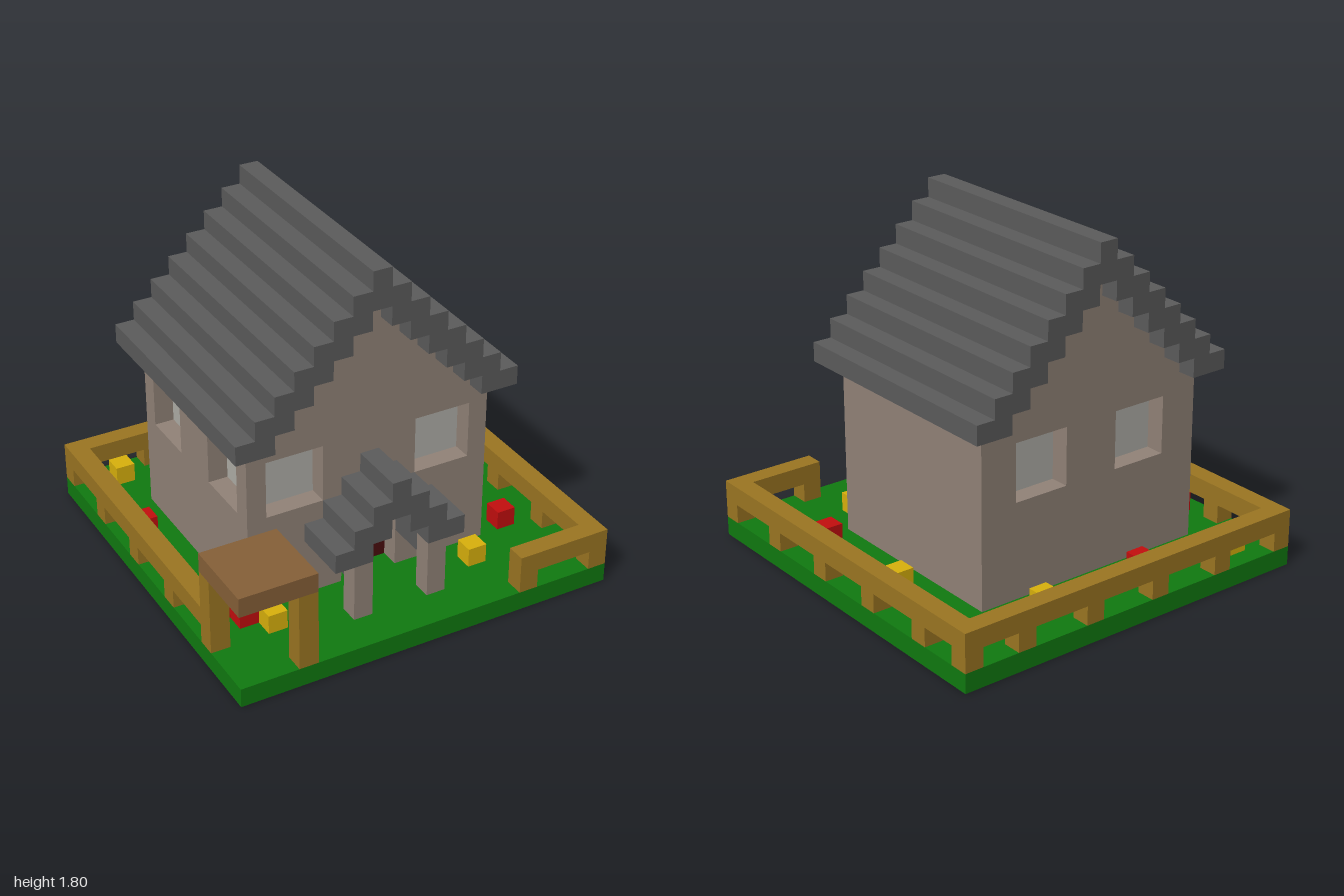
import * as THREE from 'three';

const mat = (color) => new THREE.MeshStandardMaterial({ color, flatShading: true });

export function createModel() {
  const model = new THREE.Group();
  const grass = mat(0x107a10), stone = mat(0x928378), slate = mat(0x5c5c5c), wood = mat(0x9c7622),
    plank = mat(0x866038), glass = mat(0xb0afa8), doorRed = mat(0x4a0c0e),
    red = mat(0xc40e0e), yellow = mat(0xdab20c);

  const group = (name) => {
    const g = new THREE.Group();
    g.name = name;
    model.add(g);
    return g;
  };
  const add = (parent, name, geometry, material) => {
    const mesh = new THREE.Mesh(geometry, material);
    mesh.name = name;
    parent.add(mesh);
  };
  // Box given by its lower and upper limits on each axis
  const box = (parent, name, material, x0, x1, y0, y1, z0, z1) => {
    const g = new THREE.BoxGeometry(x1 - x0, y1 - y0, z1 - z0);
    g.translate((x0 + x1) / 2, (y0 + y1) / 2, (z0 + z1) / 2);
    add(parent, name, g, material);
  };
  const path = (points, Type = THREE.Path) => new Type(points.map(([x, y]) => new THREE.Vector2(x, y)));
  const rect = (x0, x1, y0, y1) => [[x0, y0], [x1, y0], [x1, y1], [x0, y1]];
  // Slab 0.1 thick starting at depth z0
  const slab = (outline, holes, z0) => {
    const shape = path(outline, THREE.Shape);
    shape.holes = holes.map((h) => path(h));
    return new THREE.ExtrudeGeometry(shape, { depth: 0.1, bevelEnabled: false }).translate(0, 0, z0);
  };

  // Lawn, cut out under the house and the porch posts (shape y is -z)
  const houseHole = [[-0.7, -0.5], [-0.2, -0.5], [-0.2, -0.4], [0.1, -0.4], [0.1, -0.5],
    [0.6, -0.5], [0.6, 0.6], [-0.7, 0.6]];
  const lawn = slab(rect(-1, 1, -1, 1),
    [houseHole, rect(-0.3, -0.2, -0.8, -0.7), rect(0.1, 0.2, -0.8, -0.7)], 0);
  add(model, 'lawn', lawn.rotateX(-Math.PI / 2), grass);

  // Gable outline with stepped slopes, right side up then left side down
  const gable = [];
  for (let k = 0; k <= 5; k++) gable.push([0.5 - 0.1 * k, 1 + 0.1 * k], [0.5 - 0.1 * k, 1.1 + 0.1 * k]);
  for (let k = 5; k >= 0; k--) gable.push([-0.6 + 0.1 * k, 1.1 + 0.1 * k], [-0.6 + 0.1 * k, 1 + 0.1 * k]);
  const top = [[0.6, 0], [0.6, 1], ...gable, [-0.7, 1], [-0.7, 0]];
  const doorway = [[-0.2, 0], [-0.2, 0.5], [-0.1, 0.5], [-0.1, 0.6], [0, 0.6], [0, 0.5], [0.1, 0.5], [0.1, 0]];

  // Walls
  const walls = group('walls');
  const windowHole = (a) => rect(a, a + 0.3, 0.6, 0.9);
  const frontX = [-0.6, 0.2], backX = [-0.5, 0.1], sideZ = [-0.5, 0.1];
  add(walls, 'frontWall', slab([...top, ...doorway], frontX.map(windowHole), 0.4), stone);
  add(walls, 'backWall', slab(top, backX.map(windowHole), -0.6), stone);
  add(walls, 'rightWall', slab(rect(-0.5, 0.4, 0, 1), sideZ.map(windowHole), 0.6).rotateY(-Math.PI / 2), stone);
  box(walls, 'leftWall', stone, 0.5, 0.6, 0, 1, -0.5, 0.4);

  // Recessed panes and door
  const panes = group('windows');
  for (const x of frontX) box(panes, 'frontPane', glass, x, x + 0.3, 0.6, 0.9, 0.3, 0.4);
  for (const x of backX) box(panes, 'backPane', glass, x, x + 0.3, 0.6, 0.9, -0.5, -0.4);
  for (const z of sideZ) box(panes, 'sidePane', glass, -0.6, -0.5, 0.6, 0.9, z, z + 0.3);
  const door = group('door');
  box(door, 'doorPanel', doorRed, -0.2, 0.1, 0.1, 0.5, 0.3, 0.4);
  box(door, 'doorTop', doorRed, -0.1, 0, 0.5, 0.6, 0.3, 0.4);

  // Stepped roof: mirrored courses about x = -0.05, closed by a wide course and a ridge
  const steppedRoof = (name, half, y, z0, z1) => {
    const g = group(name), c = -0.05;
    const n = Math.round((half - 0.05) / 0.1);
    for (let k = 0; k < n - 1; k++) {
      const o = half - 0.1 * k, h = y + 0.1 * k;
      box(g, 'course', slate, c - o, c - o + 0.2, h, h + 0.1, z0, z1);
      box(g, 'course', slate, c + o - 0.2, c + o, h, h + 0.1, z0, z1);
    }
    const t = y + 0.1 * (n - 1);
    box(g, 'topCourse', slate, c - 0.15, c + 0.15, t, t + 0.1, z0, z1);
    box(g, 'ridge', slate, c - 0.05, c + 0.05, t + 0.1, t + 0.2, z0, z1);
    return g;
  };
  steppedRoof('roof', 0.75, 1, -0.7, 0.6);

  // Porch with beams and posts
  const porch = steppedRoof('porch', 0.35, 0.4, 0.5, 0.8);
  for (const x of [-0.3, 0.1]) {
    box(porch, 'porchBeam', slate, x, x + 0.1, 0.3, 0.4, 0.5, 0.7);
    box(porch, 'porchPost', stone, x, x + 0.1, 0, 0.4, 0.7, 0.8);
  }

  // Fence: rails on short posts
  const fence = group('fence');
  box(fence, 'backRail', wood, -1, 1, 0.2, 0.3, -1, -0.9);
  box(fence, 'leftRail', wood, 0.9, 1, 0.2, 0.3, -0.9, 1);
  box(fence, 'rightRail', wood, -1, -0.9, 0.2, 0.3, -0.9, 0.6);
  box(fence, 'frontRail', wood, 0.5, 0.9, 0.2, 0.3, 0.9, 1);
  const post = (x, z) => box(fence, 'fencePost', wood, x, x + 0.1, 0.1, 0.2, z, z + 0.1);
  for (const x of [-1, -0.6, -0.2, 0.2, 0.6, 0.9]) post(x, -1);
  for (const z of [-0.7, -0.3, 0.1, 0.5, 0.9]) post(0.9, z);
  for (const z of [-0.6, -0.2, 0.2]) post(-1, z);
  post(0.5, 0.9);

  // Corner canopy on two posts
  const canopy = group('canopy');
  box(canopy, 'canopyTop', plank, -1, -0.6, 0.5, 0.6, 0.6, 1);
  box(canopy, 'canopyPost', wood, -0.7, -0.6, 0.1, 0.5, 0.9, 1);
  box(canopy, 'canopyPost', wood, -1, -0.9, 0.1, 0.5, 0.6, 0.7);

  // Flowers
  const flowers = group('flowers');
  const plant = (material, spots) => {
    for (const [x, z] of spots) box(flowers, 'flower', material, x, x + 0.1, 0.1, 0.2, z, z + 0.1);
  };
  plant(red, [[-0.3, -0.8], [-0.9, -0.4], [-0.9, 0.4], [0.7, 0.4], [-0.8, 0.5]]);
  plant(yellow, [[-0.8, -0.9], [0.3, -0.8], [0.7, -0.2], [0.4, 0.6], [-0.7, 0.6]]);

  return model;
}
